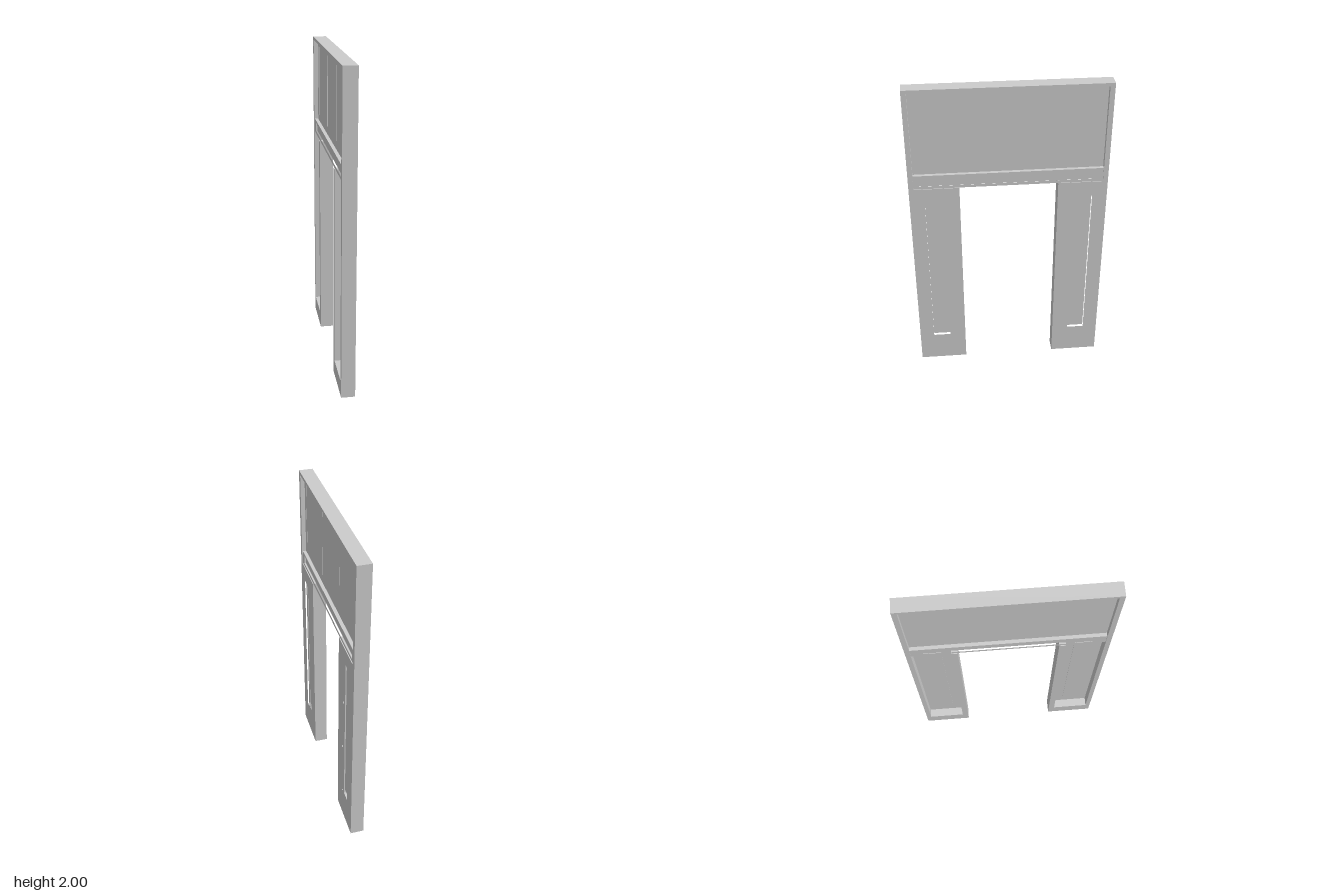
import * as THREE from 'three';

const material = new THREE.MeshStandardMaterial({ color: 0xcccccc, flatShading: true });
const HALF = 0.605, DEPTH = 0.043;

const rect = (z0, z1, y0, y1) => [[z0, y0], [z1, y0], [z1, y1], [z0, y1]];

// Plate drawn in the z-y plane, running from x0 to x1, with optional holes
function plate(name, outline, holes, x0, x1) {
  const toPoints = (pts) => pts.map(([z, y]) => new THREE.Vector2(-z, y));
  const shape = new THREE.Shape(toPoints(outline));
  holes.forEach((h) => shape.holes.push(new THREE.Path(toPoints(h))));
  const geo = new THREE.ExtrudeGeometry(shape, { depth: x1 - x0, bevelEnabled: false });
  geo.rotateY(Math.PI / 2).translate(x0, 0, 0);
  const mesh = new THREE.Mesh(geo, material);
  mesh.name = name;
  return mesh;
}

// One face of the header: three sunk panes over a projecting, panelled rail
function headerFace() {
  const face = new THREE.Group();
  face.name = 'headerFace';
  const panes = [[0.186, 0.54], [-0.174, 0.154], [-0.54, -0.206]]
    .map(([a, b]) => rect(a, b, 1.487, 1.943));
  face.add(
    plate('headerPanel', rect(-0.575, 0.575, 1.36, 1.98), [], 0, 0.006),
    plate('paneFrame', rect(-0.575, 0.575, 1.45, 1.98), panes, 0.006, 0.016),
    plate('lowerRail', rect(-0.575, 0.575, 1.36, 1.45),
      [rect(-0.54, 0.54, 1.378, 1.435)], 0.006, 0.038),
    plate('railPanel', rect(-0.54, 0.54, 1.378, 1.435), [], 0.006, 0.028),
  );
  return face;
}

// Leg with a slim sunk panel in front and a deep hollow behind
function leg(side) {
  const group = new THREE.Group();
  group.name = side > 0 ? 'frontLeg' : 'backLeg';
  const span = (a, b, y0, y1) =>
    rect(Math.min(side * a, side * b), Math.max(side * a, side * b), y0, y1);
  const slot = span(0.403, 0.513, 0.2, 1.26);
  const rim = [[0.3, 0], [HALF, 0], [HALF, 1.36], [0.575, 1.36],
    [0.575, 0.1], [0.34, 0.1], [0.34, 1.36], [0.3, 1.36]].map(([z, y]) => [side * z, y]);
  group.add(
    plate('legFace', span(0.3, HALF, 0, 1.36), [slot], 0.012, DEPTH),
    plate('legPanel', slot, [], 0.009, 0.024),
    plate('legRim', rim, [], -DEPTH, 0.012),
  );
  return group;
}

export function createModel() {
  const model = new THREE.Group();
  model.name = 'panelledDoorway';

  // Border around the header, open at the bottom
  model.add(plate('headerBorder', [[-HALF, 1.36], [-0.575, 1.36], [-0.575, 1.98], [0.575, 1.98],
    [0.575, 1.36], [HALF, 1.36], [HALF, 2], [-HALF, 2]], [], -DEPTH, DEPTH));

  // The same header face on both sides
  for (const angle of [0, Math.PI]) {
    const face = headerFace();
    face.rotation.y = angle;
    model.add(face);
  }

  model.add(leg(1), leg(-1));
  return model;
}
